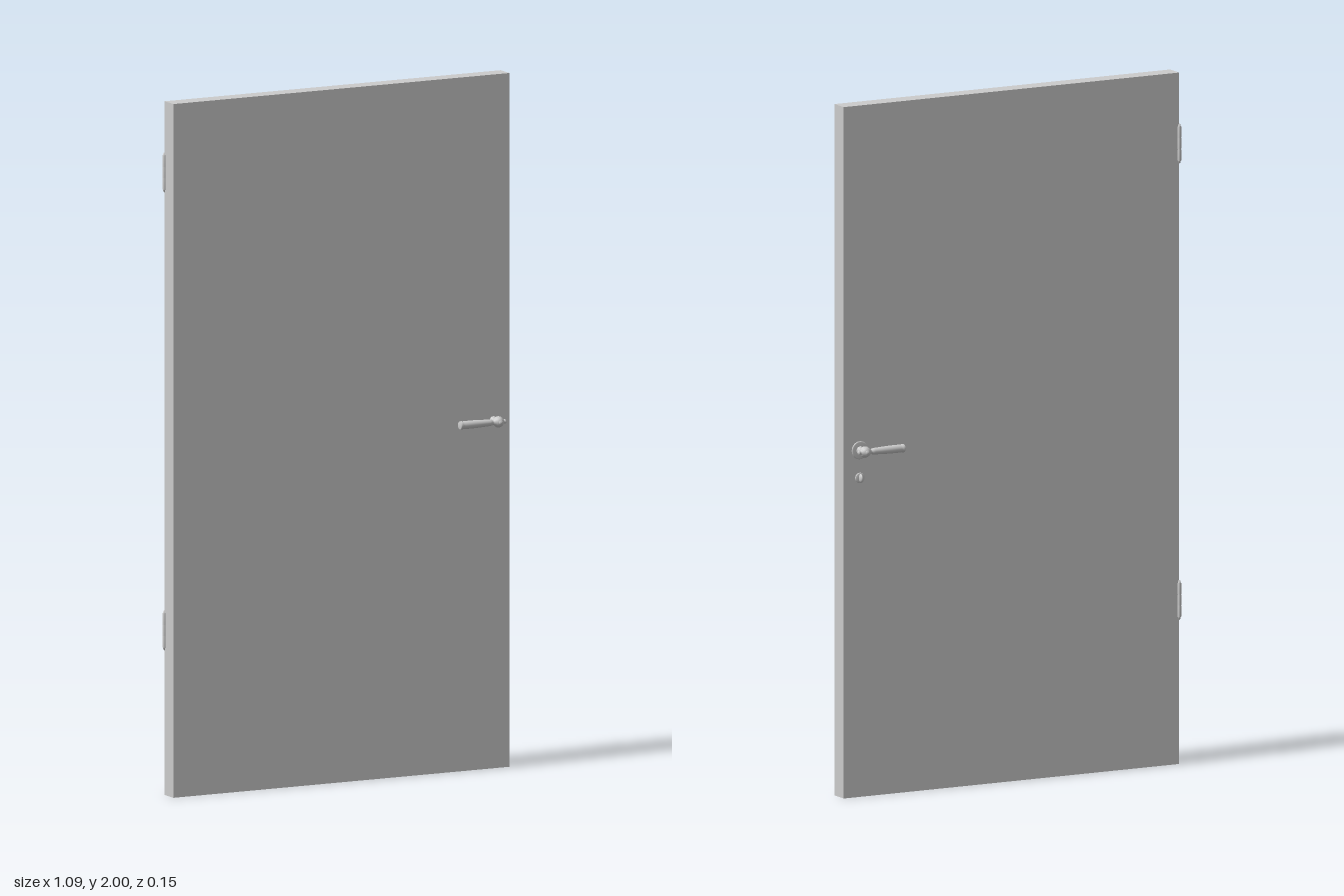
import * as THREE from 'three';

const material = new THREE.MeshStandardMaterial({ color: 0xcccccc, roughness: 0.6 });

const HANDLE_X = 0.492;
const SLAB_BACK = -0.0255, SLAB_FRONT = 0.0275;

function mesh(name, geometry, x = 0, y = 0, z = 0) {
  const m = new THREE.Mesh(geometry, material);
  m.name = name;
  m.position.set(x, y, z);
  return m;
}

// Turned part from [radius, height] pairs, bottom to top
function turned(profile, segments = 24) {
  return new THREE.LatheGeometry(profile.map(([r, h]) => new THREE.Vector2(r, h)), segments);
}

// Handle pointing out along +z, lever running towards -x
function makeHandle(name) {
  const handle = new THREE.Group();
  handle.name = name;

  // Neck flaring from the door, swelling into a ball with a small end button
  const neck = turned([
    [0.013, 0.02], [0.012, 0.029], [0.008, 0.033], [0.0065, 0.038], [0.0075, 0.043],
    [0.012, 0.047], [0.0155, 0.052], [0.0165, 0.058], [0.0145, 0.064], [0.009, 0.069],
    [0.0055, 0.071], [0.0065, 0.073], [0.006, 0.076], [0, 0.077],
  ]);
  neck.rotateX(Math.PI / 2);
  handle.add(mesh('handleNeck', neck));

  // Lever with a collar at its free end and a button behind the ball
  const lever = turned([
    [0, -0.126], [0.0105, -0.1255], [0.012, -0.124], [0.012, -0.118], [0.0105, -0.116],
    [0.0115, -0.112], [0.0115, -0.08], [0.0095, -0.03], [0.0085, -0.022], [0.006, -0.02],
    [0.007, -0.016], [0.013, -0.009], [0.016, 0], [0.013, 0.008], [0.0075, 0.014],
    [0.005, 0.016], [0.0065, 0.019], [0.006, 0.0225], [0, 0.0235],
  ]);
  lever.rotateZ(-Math.PI / 2);
  handle.add(mesh('handleLever', lever, 0, 0, 0.058));

  handle.position.set(HANDLE_X, 1.003, 0);
  return handle;
}

// Slim hinge barrel with rounded finials and knuckle grooves
function makeHinge(name, y) {
  const profile = [[0, -0.058], [0.003, -0.056], [0.0035, -0.051], [0.0055, -0.049]];
  for (const g of [-0.016, 0.016]) {
    profile.push([0.0055, g - 0.001], [0.0045, g], [0.0055, g + 0.001]);
  }
  profile.push([0.0055, 0.049], [0.0035, 0.051], [0.003, 0.056], [0, 0.058]);
  return mesh(name, turned(profile, 16), -0.5405, y, SLAB_BACK - 0.0005);
}

export function createModel() {
  const door = new THREE.Group();
  door.name = 'door';

  // Plain door slab
  door.add(mesh('doorSlab', new THREE.BoxGeometry(1.084, 2, SLAB_FRONT - SLAB_BACK),
    0.002, 1, (SLAB_FRONT + SLAB_BACK) / 2));

  // Matching handles on both faces
  const back = makeHandle('backHandle');
  back.scale.z = -1;
  door.add(makeHandle('frontHandle'), back);

  // Round plate behind the back handle
  const plate = turned([[0.026, 0], [0.026, 0.002], [0.023, 0.0035], [0, 0.0035]], 32);
  plate.rotateX(-Math.PI / 2);
  door.add(mesh('handlePlate', plate, HANDLE_X, 1.003, SLAB_BACK));

  // Small lock plate with a turn knob below it
  const lockPlate = turned([[0.015, 0], [0.015, 0.002], [0.013, 0.0035], [0.006, 0.004], [0, 0.004]]);
  lockPlate.rotateX(-Math.PI / 2);
  door.add(mesh('lockPlate', lockPlate, HANDLE_X, 0.923, SLAB_BACK));
  const knob = new THREE.SphereGeometry(0.011, 20, 12);
  knob.scale(0.45, 1.1, 1);
  door.add(mesh('lockKnob', knob, HANDLE_X, 0.923, SLAB_BACK - 0.006));

  // Hinges on the back corner
  door.add(makeHinge('upperHinge', 1.795), makeHinge('lowerHinge', 0.475));
  return door;
}
